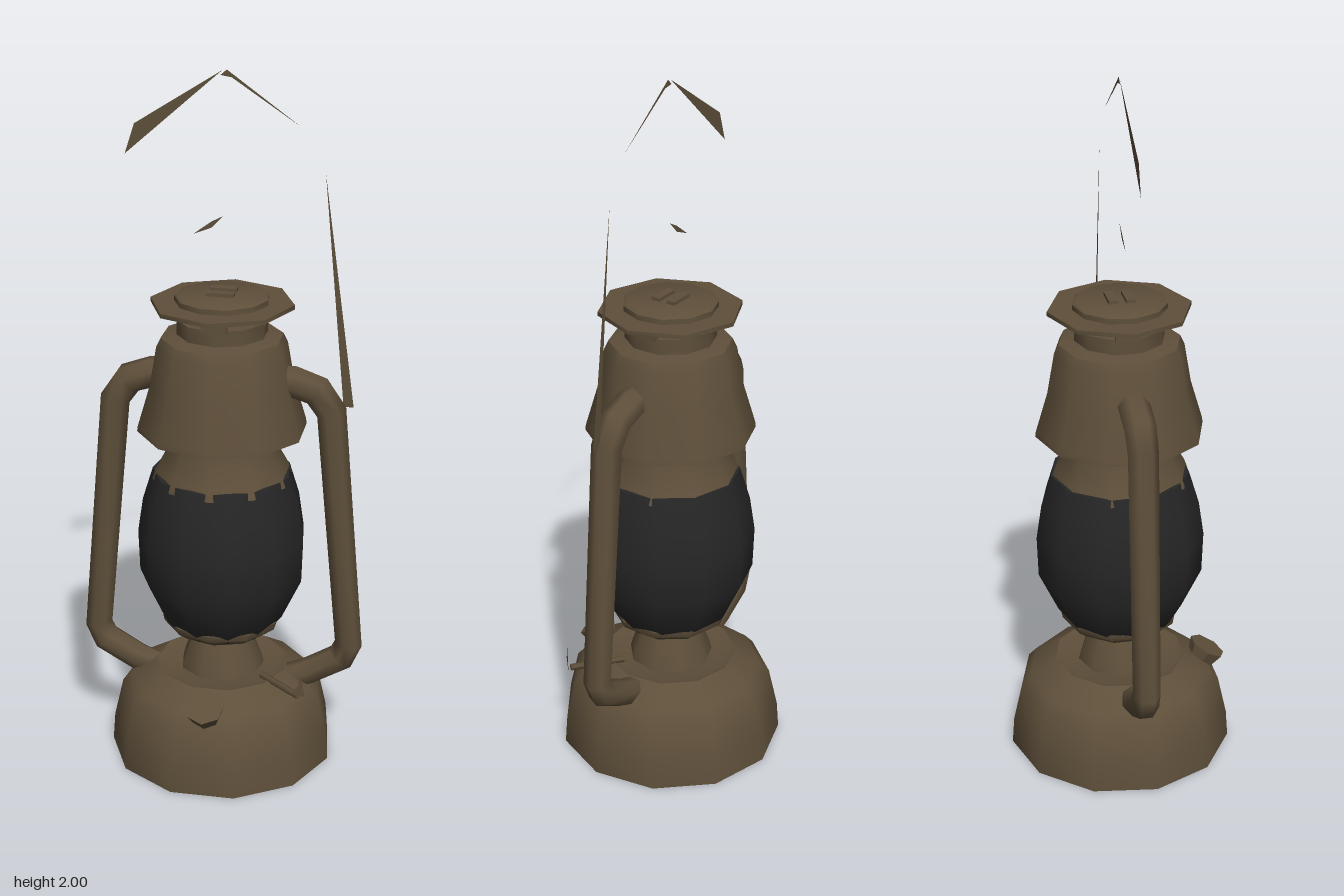
import * as THREE from 'three';
import { toCreasedNormals } from 'three/addons/utils/BufferGeometryUtils.js';

const brass = new THREE.MeshStandardMaterial({ color: 0x5e4f3a });
brass.name = 'aged brass';
const glass = new THREE.MeshStandardMaterial({ color: 0x262626 });
glass.name = 'smoked glass';
const sheet = new THREE.MeshStandardMaterial({ color: 0x5e4f3a, side: THREE.DoubleSide });
sheet.name = 'thin brass';

export function createModel() {
  const lantern = new THREE.Group();

  function add(name, geometry, material = brass) {
    const mesh = new THREE.Mesh(geometry, material);
    mesh.name = name;
    lantern.add(mesh);
    return mesh;
  }

  // Turned part: profile of [radius, height] from bottom to top
  function turned(name, profile, sides, material = brass) {
    const points = profile.map(([r, y]) => new THREE.Vector2(r, y));
    const g = new THREE.LatheGeometry(points, sides, Math.PI);
    return add(name, toCreasedNormals(g, 0.85), material);
  }

  // Bent tube with mitred corners along a path of [x, y, radius]
  function bentTube(path, sides) {
    const pos = [], index = [];
    const pts = path.map(([x, y]) => new THREE.Vector2(x, y));
    path.forEach(([x, y, r], i) => {
      const before = pts[i].clone().sub(pts[Math.max(i - 1, 0)]).normalize();
      const after = pts[Math.min(i + 1, pts.length - 1)].clone().sub(pts[i]).normalize();
      const t = before.clone().add(after).normalize();
      for (let j = 0; j < sides; j++) {
        const a = (j / sides) * Math.PI * 2;
        const c = Math.cos(a) * r;
        pos.push(x - t.y * c, y + t.x * c, Math.sin(a) * r);
        if (i < path.length - 1) {
          const p = i * sides + j, q = i * sides + (j + 1) % sides;
          index.push(p, q, p + sides, q, q + sides, p + sides);
        }
      }
    });
    const g = new THREE.BufferGeometry();
    g.setAttribute('position', new THREE.Float32BufferAttribute(pos, 3));
    g.setIndex(index);
    g.computeVertexNormals();
    return g;
  }

  // Flat sliver of wire in the plane z = 0
  function sliver(name, corners) {
    const shape = new THREE.Shape(corners.map(([x, y]) => new THREE.Vector2(x, y)));
    return add(name, new THREE.ShapeGeometry(shape), sheet);
  }

  // Fuel tank and burner
  turned('fuelTank', [[0, 0], [0.324, 0], [0.318, 0.08], [0.292, 0.195], [0.265, 0.225],
    [0.19, 0.272], [0.17, 0.265], [0, 0.262]], 11);
  turned('burnerCone', [[0.125, 0.25], [0.115, 0.29], [0.078, 0.39]], 9);
  turned('globeSeat', [[0, 0.385], [0.14, 0.388], [0.168, 0.41], [0.172, 0.43], [0.12, 0.43]], 10);

  // Glass globe
  turned('globe', [[0.145, 0.395], [0.18, 0.44], [0.236, 0.56], [0.24, 0.68], [0.225, 0.78],
    [0.196, 0.875], [0.15, 0.88]], 11, glass);

  // Chimney collar and hood
  turned('chimneyCollar', [[0.17, 0.85], [0.198, 0.855], [0.188, 0.885], [0.158, 0.94], [0.152, 1.01]], 10);
  turned('hood', [[0.14, 1.005], [0.238, 1.0], [0.236, 1.015], [0.202, 1.13], [0.182, 1.245],
    [0.17, 1.27], [0.12, 1.28]], 10);
  turned('hoodNeck', [[0.126, 1.26], [0.126, 1.322], [0, 1.325]], 10);

  // Four posts carry the top plate, leaving air gaps between them
  for (let i = 0; i < 4; i++) {
    const a = (i * Math.PI) / 2;
    const post = add('ventPost', new THREE.BoxGeometry(0.07, 0.05, 0.014));
    post.position.set(Math.sin(a) * 0.118, 1.341, Math.cos(a) * 0.118);
    post.rotation.y = a;
  }
  turned('topPlate', [[0, 1.357], [0.2, 1.357], [0.2, 1.369], [0, 1.37]], 8);
  turned('topCap', [[0.131, 1.365], [0.131, 1.384], [0.12, 1.39], [0, 1.392]], 11);
  for (const side of [-1, 1]) {
    const tab = add('capTab', new THREE.BoxGeometry(0.075, 0.014, 0.026));
    tab.position.set(0, 1.394, side * 0.024);
  }

  // Side tubes from the hood down to the tank
  for (const side of [-1, 1]) {
    const path = [[0.14, 1.15, 0.045], [0.2, 1.15, 0.045], [0.265, 1.128, 0.045], [0.305, 1.07, 0.043],
      [0.368, 0.36, 0.04], [0.345, 0.31, 0.042], [0.25, 0.255, 0.04], [0.17, 0.225, 0.038]];
    const tube = bentTube(path.map(([x, y, r]) => [x * side, y, r]), 7);
    add(side > 0 ? 'leftSideTube' : 'rightSideTube', tube);
  }

  // Filler cap tilted out of the front shoulder
  const filler = add('fillerCap', toCreasedNormals(new THREE.CylinderGeometry(0.056, 0.04, 0.05, 7), 0.6));
  filler.position.set(0.0, 0.237, 0.255);
  filler.rotation.x = 0.5;

  // Wick adjuster: a short stem and a pointed thumb plate
  const stem = add('wickStem', new THREE.CylinderGeometry(0.01, 0.01, 0.16, 5));
  stem.position.set(0.19, 0.275, 0.13);
  stem.rotation.set(0, -0.7, Math.PI / 2);
  const thumb = new THREE.Shape([[-0.025, -0.01], [0.02, -0.035], [0.012, 0.01], [0, 0.045], [-0.004, 0.008]]
    .map(([x, y]) => new THREE.Vector2(x, y)));
  const key = add('wickKey', new THREE.ShapeGeometry(thumb), sheet);
  key.position.set(0.255, 0.305, 0.19);
  key.rotation.y = 0.75;

  // Thin broken wire of the carrying handle
  sliver('handleTopRight', [[0, 1.998], [-0.238, 1.848], [-0.265, 1.765]]);
  sliver('handleTopLeft', [[0.012, 2.0], [-0.005, 1.985], [0.025, 1.98], [0.208, 1.858]]);
  sliver('handleSide', [[0.277, 1.735], [0.338, 1.085], [0.366, 1.085]]);
  sliver('handleHook', [[-0.08, 1.553], [-0.03, 1.573], [0.003, 1.607], [-0.03, 1.59]]);

  return lantern;
}
